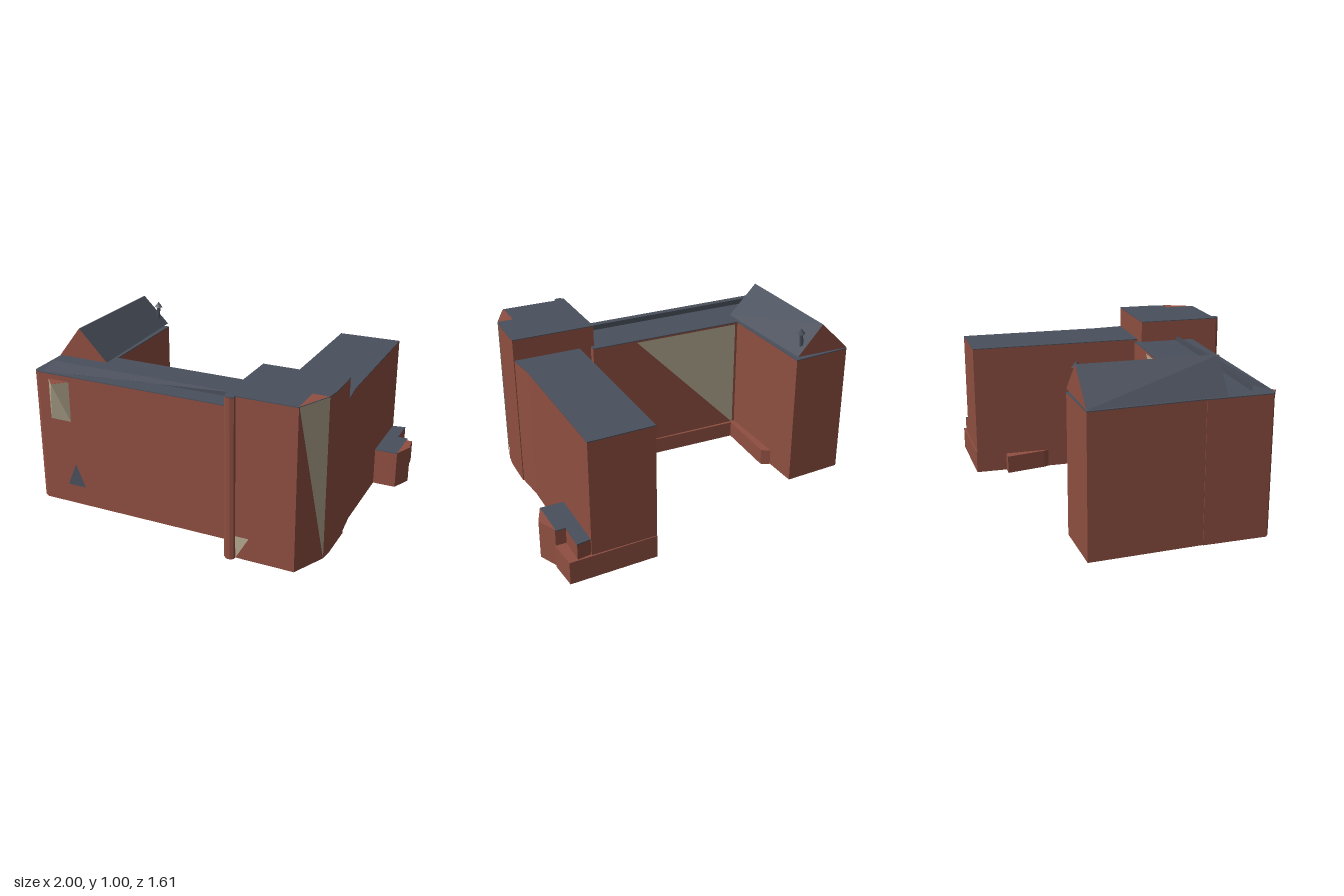
import * as THREE from 'three';

const material = (name, color) => {
  const m = new THREE.MeshStandardMaterial({ color, side: THREE.DoubleSide });
  m.name = name;
  return m;
};

export function createModel() {
  const model = new THREE.Group();
  model.name = 'courtyardBuilding';
  const brick = material('brick', 0x8f4f41);
  const slate = material('slate', 0x4a505c);
  const stone = material('stone', 0xb5aa92);

  const add = (name, geometry, mat, parent = model) => {
    const mesh = new THREE.Mesh(geometry, mat);
    mesh.name = name;
    parent.add(mesh);
    return mesh;
  };

  // upright prism over a ground plan of [x, z] corners
  const prism = (plan, y0, y1) => {
    const shape = new THREE.Shape(plan.map(([x, z]) => new THREE.Vector2(x, -z)));
    return new THREE.ExtrudeGeometry(shape, { depth: y1 - y0, bevelEnabled: false })
      .rotateX(-Math.PI / 2).translate(0, y0, 0);
  };

  // flat face or fan of triangles through [x, y, z] corners
  const face = (...corners) => {
    const points = [];
    for (let i = 1; i < corners.length - 1; i++) points.push(...corners[0], ...corners[i], ...corners[i + 1]);
    const g = new THREE.BufferGeometry();
    g.setAttribute('position', new THREE.Float32BufferAttribute(points, 3));
    g.computeVertexNormals();
    return g;
  };

  // brick block with a thin slate roof
  const block = (name, plan, height) => {
    const group = new THREE.Group();
    group.name = name;
    model.add(group);
    add(name + 'Walls', prism(plan, 0, height - 0.005), brick, group);
    add(name + 'Roof', prism(plan, height - 0.005, height), slate, group);
  };

  // main wings and corner tower
  block('gabledWing', [[-1, -0.41], [-0.64, -0.43], [-0.62, 0.3], [-0.953, 0.3]], 0.81);
  block('frontWing', [[-0.962, 0.23], [0.36, 0.24], [0.36, 0.62], [-0.92, 0.62], [-0.95, 0.6]], 0.81);
  block('rearWing', [[0.43, -0.78], [0.81, -0.79], [0.815, 0.1], [0.84, 0.33], [0.43, 0.33]], 0.81);
  block('tower', [[0.34, 0.28], [0.84, 0.28], [0.84, 0.5], [0.83, 0.58], [0.74, 0.77],
    [0.4, 0.77], [0.4, 0.79], [0.38, 0.8], [0.36, 0.8], [0.34, 0.78]], 0.94);

  // tower corner details
  add('towerCornerCap', face([0.74, 0.942, 0.77], [0.83, 0.942, 0.58], [0.74, 0.942, 0.58]), brick);
  add('towerCornerPanel', face([0.744, 0.94, 0.772], [0.834, 0.94, 0.582], [0.834, 0, 0.582]), stone);
  add('towerBasePanel', face([0.405, 0.005, 0.774], [0.48, 0.135, 0.774], [0.4, 0.135, 0.774]), stone);

  // gable roof over the left wing
  const front = [[-0.955, 0.815, 0.345], [-0.63, 0.815, 0.345], [-0.81, 1, 0.345]];
  const back = [[-1, 0.815, -0.41], [-0.645, 0.83, -0.43], [-0.81, 1, -0.42]];
  add('frontGable', face(...front), brick);
  add('backGable', face(back[1], back[0], back[2]), brick);
  add('gableRoofOuter', face(back[0], front[0], front[2], back[2]), slate);
  add('gableRoofInner', face(front[1], back[1], back[2], front[2]), slate);
  add('gableSoffit', face(front[0], back[0], back[1], front[1]), slate);

  // leaning chimney pipe with a small cap
  const pipe = add('chimneyPipe', new THREE.CylinderGeometry(0.013, 0.013, 0.11, 4), slate);
  pipe.position.set(-0.69, 0.91, -0.385);
  pipe.rotation.z = -0.12;
  const cap = add('chimneyCap', new THREE.ConeGeometry(0.028, 0.035, 4), slate);
  cap.position.set(-0.685, 0.967, -0.385);

  // raised sloping strip on the front wing
  const a = [-0.89, 0.812, 0.615], b = [-0.89, 0.842, 0.505], c = [0.32, 0.842, 0.505], d = [-0.6, 0.82, 0.59];
  add('roofStrip', face(a, d, c, b), slate);
  add('roofStripBack', face(b, c, [0.32, 0.81, 0.505], [-0.89, 0.81, 0.505]), slate);

  // projecting window and basement hatch on the front wall
  const tl = [-0.85, 0.775, 0.621], tr = [-0.715, 0.775, 0.621];
  const bl = [-0.85, 0.53, 0.622], br = [-0.715, 0.53, 0.622], peak = [-0.785, 0.775, 0.69];
  add('windowFaces', face(peak, tl, bl, br, tr), stone);
  add('windowTop', face([-0.85, 0.776, 0.621], [-0.785, 0.776, 0.69], [-0.715, 0.776, 0.621]), brick);
  add('frontHatch', face([-0.76, 0.12, 0.623], [-0.64, 0.12, 0.623], [-0.7, 0.262, 0.623]), slate);

  // courtyard wall panel and skirting
  add('courtyardPanel', face([0.08, 0.8, 0.228], [-0.6, 0.1, 0.222], [-0.6, 0.8, 0.222]), stone);
  add('courtyardSkirting', prism([[-0.62, 0.215], [0.1, 0.228], [0.34, 0.228], [0.34, 0.25], [-0.62, 0.25]], 0, 0.1), brick);
  add('wingPlinth', prism([[-0.63, -0.22], [-0.58, -0.19], [-0.59, 0.22], [-0.63, 0.22]], 0, 0.1), brick);
  add('cornerPlinth', prism([[0.34, 0.2], [0.44, 0.2], [0.44, 0.29], [0.34, 0.29]], 0, 0.12), brick);
  add('rearPlinth', prism([[0.365, -0.595], [0.44, -0.595], [0.44, -0.3], [0.415, -0.35]], 0, 0.11), brick);

  // low courtyard bay with a sloped lid
  const bay = [[0.1, 0.24], [0.19, 0.125], [0.3, 0.12], [0.345, 0.205], [0.345, 0.25]];
  add('courtyardBay', prism(bay, 0, 0.1), brick);
  add('courtyardBayLid', face([0.16, 0.14, 0.17], [0.1, 0.1, 0.24], [0.19, 0.1, 0.125],
    [0.3, 0.1, 0.12], [0.345, 0.1, 0.205], [0.34, 0.13, 0.24], [0.1, 0.1, 0.24]), brick);

  // side annex with a pointed brick bay and a low rear skirt
  block('annex', [[0.8, -0.78], [0.89, -0.795], [0.89, -0.63], [0.95, -0.63], [0.95, -0.39], [0.8, -0.39]], 0.23);
  add('annexBay', prism([[0.945, -0.63], [1, -0.51], [0.95, -0.39]], 0, 0.23), brick);
  add('annexCorner', prism([[0.885, -0.8], [0.94, -0.805], [0.955, -0.63], [0.885, -0.63]], 0, 0.135), brick);
  add('rearSkirt', prism([[0.43, -0.785], [0.94, -0.805], [0.9, -0.76], [0.43, -0.76]], 0, 0.135), brick);
  return model;
}
